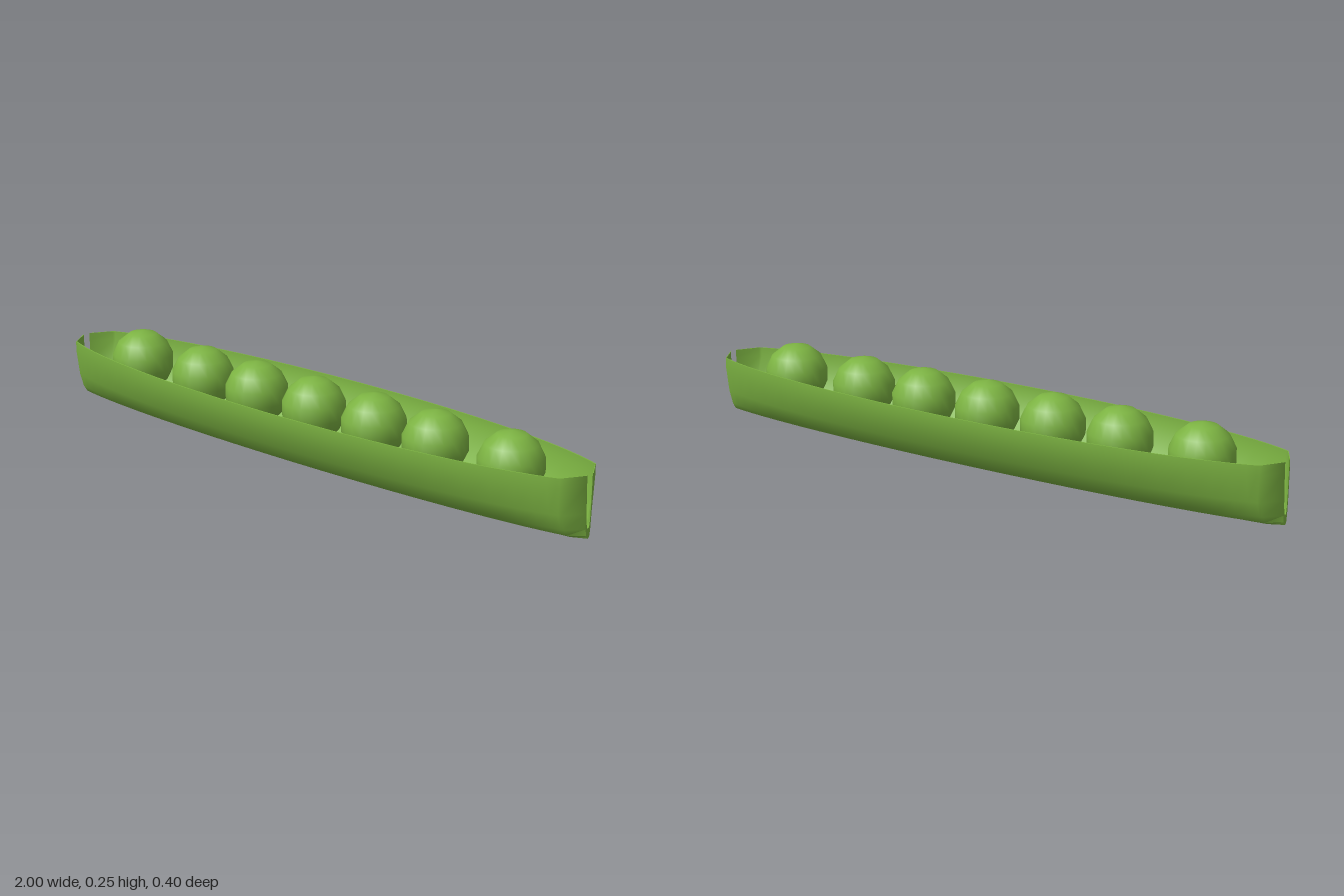
import * as THREE from 'three';
import { toCreasedNormals } from 'three/addons/utils/BufferGeometryUtils.js';

const green = new THREE.MeshStandardMaterial({ color: 0x7cb342 });

// Half of the pod's cross-section: [fraction of half width, height], rim to keel
const HALF = [[1, 0.185], [1, 0.155], [0.85, 0.075], [0.67, 0.03], [0.5, 0.01], [0.3, 0.002], [0, 0]];
const SECTION = [
  ...HALF.map(([z, y]) => [-z, y]),
  ...HALF.slice(0, -1).reverse(),
];
const WALL = 0.004;

function podGeometry() {
  // Stations along the length: an elliptical plan, pinched to a narrow slit at both tips
  const stations = [{ x: -1, w: 0.016, floor: 0.03 }];
  const steps = 24;
  for (let i = 0; i <= steps; i++) {
    const x = 0.96 * Math.sin((i / steps - 0.5) * Math.PI);
    stations.push({ x, w: 0.202 * Math.sqrt(1 - (x / 1.05) ** 2), floor: 0.01 });
  }
  stations.push({ x: 1, w: 0.016, floor: 0.03 });

  // Each ring runs along the outside, then back along the inside
  const positions = [];
  const index = [];
  const m = SECTION.length;
  const n = 2 * m;
  for (const { x, w, floor } of stations) {
    for (const [z, y] of SECTION) positions.push(x, y, z * w);
    for (const [z, y] of [...SECTION].reverse()) {
      positions.push(x, y + floor * (1 - y / 0.185), z * (w - WALL));
    }
  }
  const quad = (a, b, c, d) => index.push(a, b, c, a, c, d);
  for (let i = 0; i < stations.length - 1; i++) {
    for (let j = 0; j < n; j++) {
      const k = (j + 1) % n;
      quad(i * n + j, (i + 1) * n + j, (i + 1) * n + k, i * n + k);
    }
  }
  // Wall thickness at the open tips
  const last = (stations.length - 1) * n;
  for (let j = 0; j < m - 1; j++) {
    const p = n - 1 - j;
    quad(j, j + 1, p - 1, p);
    quad(last + p, last + p - 1, last + j + 1, last + j);
  }

  const geometry = new THREE.BufferGeometry();
  geometry.setAttribute('position', new THREE.Float32BufferAttribute(positions, 3));
  geometry.setIndex(index);
  return toCreasedNormals(geometry, 0.85);
}

export function createModel() {
  const model = new THREE.Group();
  model.name = 'peaPod';

  const pod = new THREE.Mesh(podGeometry(), green);
  pod.name = 'podShell';
  model.add(pod);

  // Row of peas, the outer two set slightly apart
  const peas = new THREE.Group();
  peas.name = 'peas';
  const peaGeometry = new THREE.SphereGeometry(0.098, 20, 7);
  [-0.735, -0.465, -0.235, 0, 0.235, 0.465, 0.735].forEach((x, i) => {
    const pea = new THREE.Mesh(peaGeometry, green);
    pea.name = `pea${i + 1}`;
    pea.position.set(x, 0.152, 0);
    peas.add(pea);
  });
  model.add(peas);
  return model;
}
